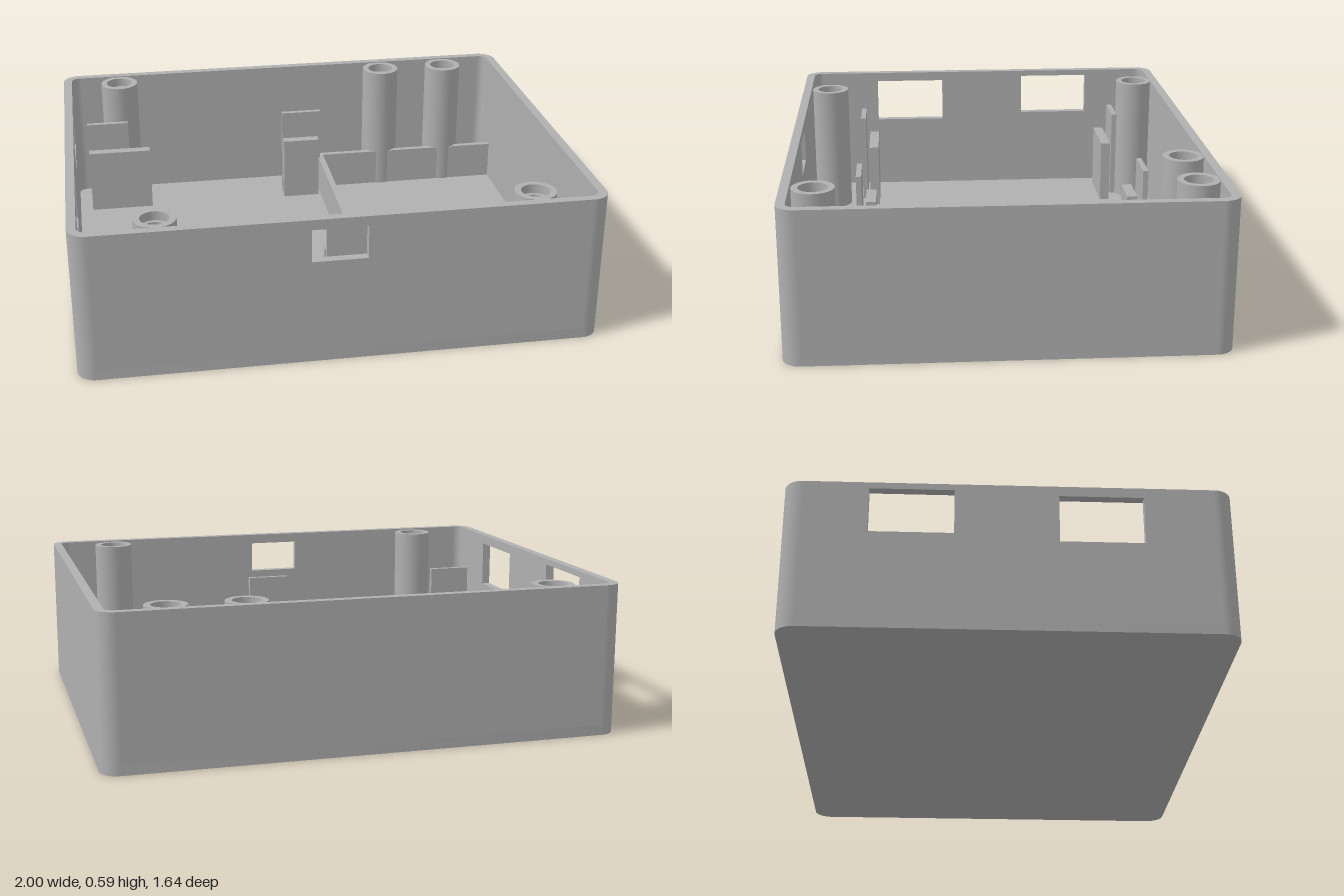
import * as THREE from 'three';
import { toCreasedNormals } from 'three/addons/utils/BufferGeometryUtils.js';

const W = 1, D = 0.82, H = 0.59;       // half width, half depth, height
const T = 0.035, R = 0.07, FLOOR = 0.04; // wall, corner radius, floor

export function createModel() {
  const group = new THREE.Group();
  const grey = new THREE.MeshStandardMaterial({ color: 0xb0b0b0 });
  grey.name = 'grey plastic';

  const add = (name, geometry, x = 0, y = 0, z = 0, turn = 0) => {
    const mesh = new THREE.Mesh(geometry, grey);
    mesh.name = name;
    mesh.position.set(x, y, z);
    mesh.rotation.y = turn;
    group.add(mesh);
    return mesh;
  };
  // Box given by its limits
  const block = (name, x0, x1, y0, y1, z0, z1) =>
    add(name, new THREE.BoxGeometry(x1 - x0, y1 - y0, z1 - z0),
      (x0 + x1) / 2, (y0 + y1) / 2, (z0 + z1) / 2);
  // Plan outline pulled upwards
  const raise = (shape, depth) => toCreasedNormals(
    new THREE.ExtrudeGeometry(shape, { depth, bevelEnabled: false, curveSegments: 12 })
      .rotateX(-Math.PI / 2), 0.6);

  // Floor slab with rounded corners
  const plan = new THREE.Shape();
  plan.absarc(W - R, D - R, R, 0, Math.PI / 2);
  plan.absarc(R - W, D - R, R, Math.PI / 2, Math.PI);
  plan.absarc(R - W, R - D, R, Math.PI, Math.PI * 1.5);
  plan.absarc(W - R, R - D, R, Math.PI * 1.5, Math.PI * 2);
  plan.closePath();
  add('floor', raise(plan, FLOOR));

  // Rounded wall corners
  const arc = new THREE.Shape();
  arc.absarc(0, 0, R, 0, Math.PI / 2, false);
  arc.absarc(0, 0, R - T, Math.PI / 2, 0, true);
  arc.closePath();
  const corner = raise(arc, H - FLOOR);
  [[1, -1], [-1, -1], [-1, 1], [1, 1]].forEach(([sx, sz], i) =>
    add('wallCorner', corner, sx * (W - R), FLOOR, sz * (D - R), i * Math.PI / 2));

  // Straight walls; each window is [u0, u1, y0, y1] along the wall
  const rect = (path, u0, u1, y0, y1) =>
    path.moveTo(u0, y0).lineTo(u1, y0).lineTo(u1, y1).lineTo(u0, y1).closePath();
  const wall = (name, half, distance, turn, windows = []) => {
    const shape = new THREE.Shape();
    rect(shape, -half, half, FLOOR, H);
    for (const w of windows) {
      const hole = new THREE.Path();
      rect(hole, ...w);
      shape.holes.push(hole);
    }
    const geometry = new THREE.ExtrudeGeometry(shape, { depth: T, bevelEnabled: false });
    geometry.translate(0, 0, distance - T);
    add(name, geometry, 0, 0, 0, turn);
  };
  wall('frontWall', W - R, D, 0, [[-0.13, 0.08, 0.42, 0.55]]);
  wall('backWall', W - R, D, Math.PI);
  wall('leftWall', D - R, W, Math.PI / 2);
  wall('rightWall', D - R, W, -Math.PI / 2,
    [[-0.51, -0.2, 0.385, 0.565], [0.18, 0.49, 0.36, 0.55]]);

  // Screw posts with a stepped bore
  const profile = [[0.08, FLOOR], [0.08, 0.586], [0.055, 0.586], [0.055, 0.55],
    [0.04, 0.55], [0.04, 0.2], [0, 0.2]].map(([x, y]) => new THREE.Vector2(x, y));
  const post = toCreasedNormals(new THREE.LatheGeometry(profile, 32), 0.6);
  for (const [x, z] of [[-0.755, -0.71], [0.445, -0.71], [0.74, -0.71], [-0.685, 0.7], [0.74, 0.7]])
    add('screwPost', post, x, 0, z);

  // Small locating pins
  const pin = new THREE.CylinderGeometry(0.027, 0.027, 0.2 - FLOOR, 24);
  for (const x of [0.23, 0.39]) add('pin', pin, x, (0.2 + FLOOR) / 2, 0.667);

  // Low compartment divider, with a gap at the front
  block('dividerSide', 0.14, 0.165, FLOOR, 0.2, -0.635, 0.567);
  block('dividerBack', 0.14, W - T, FLOOR, 0.2, -0.66, -0.635);
  block('dividerFrontShort', 0.14, 0.24, FLOOR, 0.2, 0.567, 0.595);
  block('dividerFrontLong', 0.38, W - T, FLOOR, 0.2, 0.567, 0.595);

  // Board holders: a thick support and a taller thin clip in each place
  for (const [x0, thickEnd, thinEnd] of [[-0.91, -0.64, -0.73], [-0.03, 0.13, 0.147]]) {
    block('backSupport', x0, thickEnd, FLOOR, 0.315, -0.592, -0.55);
    block('frontSupport', x0, thickEnd, FLOOR, 0.315, 0.488, 0.53);
    block('backClip', x0, thinEnd, FLOOR, 0.43, -0.632, -0.61);
    block('frontClip', x0, thinEnd, FLOOR, 0.43, 0.545, 0.567);
  }
  return group;
}
